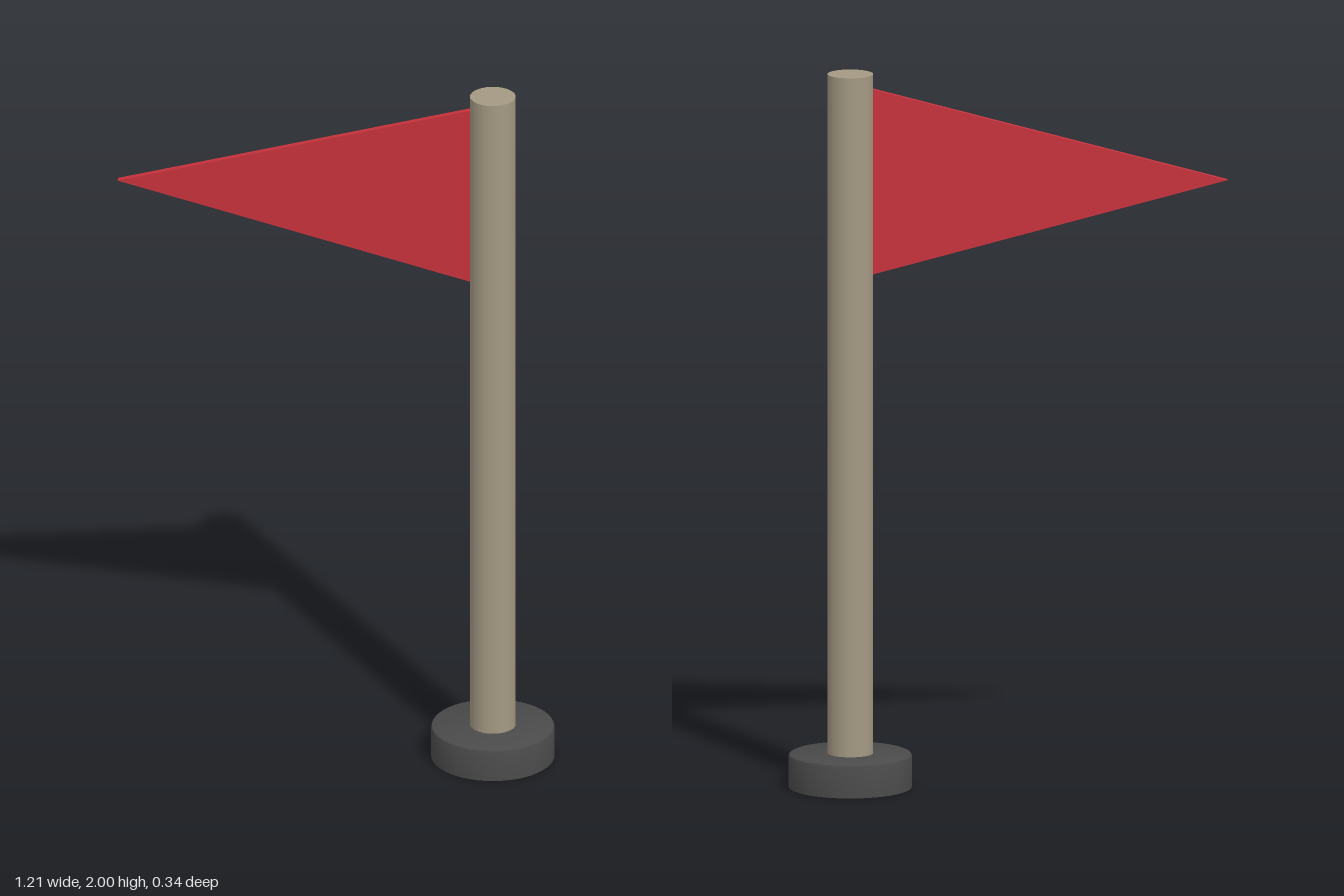
import * as THREE from 'three';
import { toCreasedNormals } from 'three/addons/utils/BufferGeometryUtils.js';

const POLE_X = 0.434;

function part(name, geometry, color) {
  const mesh = new THREE.Mesh(geometry, new THREE.MeshStandardMaterial({ color }));
  mesh.name = name;
  return mesh;
}

export function createModel() {
  const group = new THREE.Group();
  group.name = 'pennantOnPole';

  // Round foot with a slightly softened top edge
  const profile = [[0, 0], [0.17, 0], [0.17, 0.086], [0.168, 0.091], [0.162, 0.094], [0, 0.094]]
    .map(([r, y]) => new THREE.Vector2(r, y));
  const base = part('base', toCreasedNormals(new THREE.LatheGeometry(profile, 48), 0.7), 0x4a4a4a);
  base.position.x = POLE_X;
  group.add(base);

  // Pole, standing on the foot
  const pole = part('pole', new THREE.CylinderGeometry(0.063, 0.063, 1.92, 32), 0xa39882);
  pole.position.set(POLE_X, 1.04, 0);
  group.add(pole);

  // Triangular flag, its hoist edge set just into the pole
  const outline = new THREE.Shape([
    new THREE.Vector2(0.374, 1.438),
    new THREE.Vector2(0.374, 1.958),
    new THREE.Vector2(-0.604, 1.698),
  ]);
  const depth = 0.018;
  const cloth = new THREE.ExtrudeGeometry(outline, { depth, bevelEnabled: false });
  cloth.translate(0, 0, -depth / 2);
  group.add(part('flag', cloth, 0xc8323c));

  return group;
}
